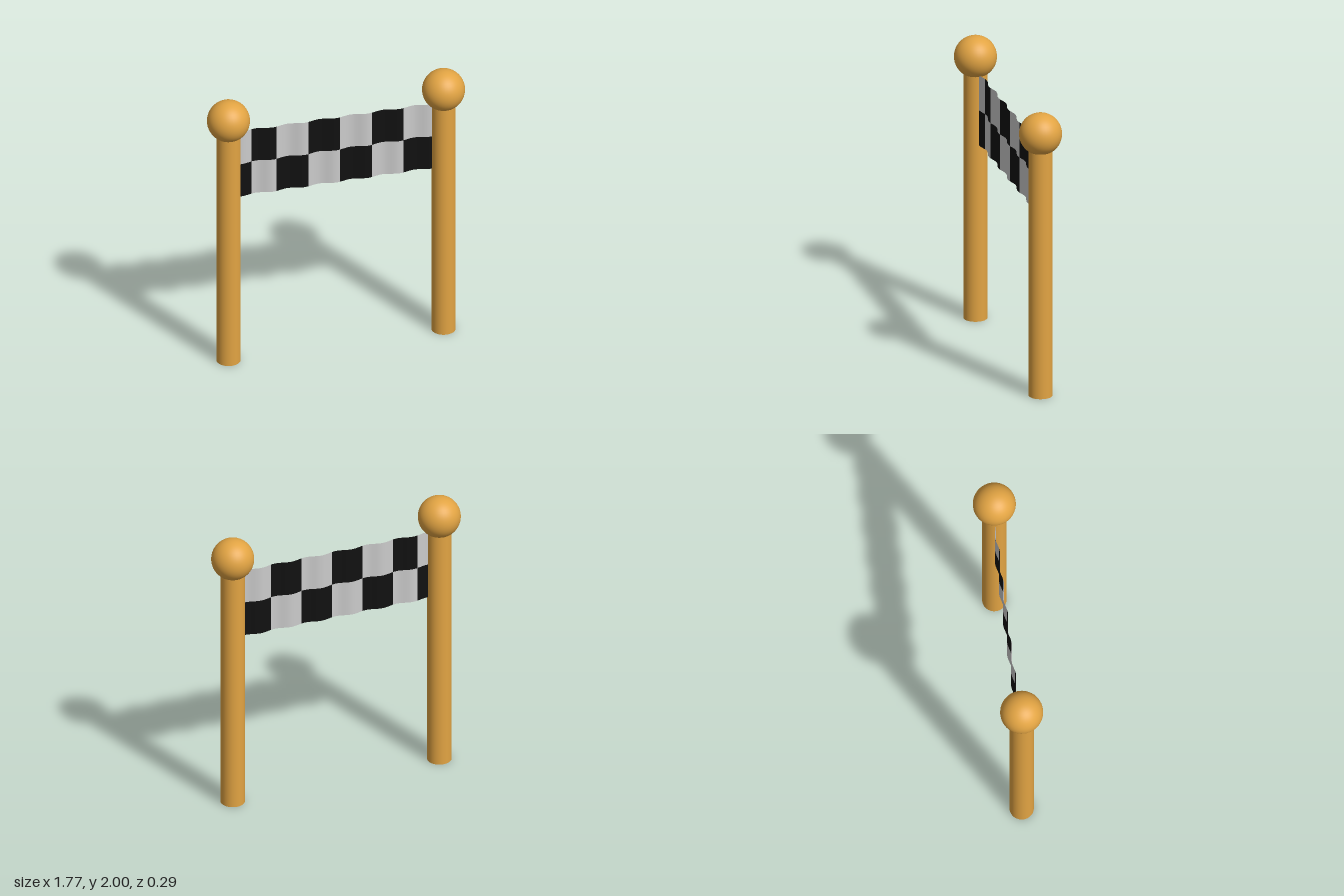
import * as THREE from 'three';
import { mergeGeometries } from 'three/addons/utils/BufferGeometryUtils.js';

const POST_X = 0.74, POST_R = 0.081, POST_H = 1.746;
const BALL_R = 0.143;
const WAVE = (2 * Math.PI) / 0.2177, AMP = 0.01;

// One rippled rectangle of cloth, with smooth normals that match its neighbours
function clothCell(x0, x1, y0, y1) {
  const geo = new THREE.PlaneGeometry(x1 - x0, y1 - y0, 12, 1);
  geo.translate((x0 + x1) / 2, (y0 + y1) / 2, 0);
  const { position, normal } = geo.attributes;
  const n = new THREE.Vector3();
  for (let i = 0; i < position.count; i++) {
    const a = position.getX(i) * WAVE;
    position.setZ(i, AMP * (Math.cos(a) - 1));
    n.set(AMP * WAVE * Math.sin(a), 0, 1).normalize();
    normal.setXYZ(i, n.x, n.y, n.z);
  }
  return geo;
}

export function createModel() {
  const group = new THREE.Group();
  const wood = new THREE.MeshStandardMaterial({ color: 0xe2a443 });

  // Two round posts, each with a ball on top
  for (const [side, s] of [['left', 1], ['right', -1]]) {
    const post = new THREE.Mesh(new THREE.CylinderGeometry(POST_R, POST_R, POST_H, 32), wood);
    post.name = side + 'Post';
    post.position.set(s * POST_X, POST_H / 2, 0);

    const ball = new THREE.Mesh(new THREE.SphereGeometry(BALL_R, 40, 24), wood);
    ball.name = side + 'Ball';
    ball.position.set(s * POST_X, 2 - BALL_R, 0);
    group.add(post, ball);
  }

  // Chequered banner: two rows of cells, the end columns running into the posts
  const columns = [-0.72, -0.578, -0.407, -0.189, 0.029, 0.248, 0.466, 0.7];
  const rows = [1.255, 1.505, 1.755];
  const cells = [[], []];
  for (let r = 0; r < 2; r++) {
    for (let c = 0; c < columns.length - 1; c++) {
      cells[(r + c) % 2].push(clothCell(columns[c], columns[c + 1], rows[r], rows[r + 1]));
    }
  }

  const banner = new THREE.Group();
  banner.name = 'banner';
  [['darkSquares', 0x111111], ['lightSquares', 0xcccccc]].forEach(([name, color], i) => {
    const material = new THREE.MeshStandardMaterial({ color, side: THREE.DoubleSide });
    const squares = new THREE.Mesh(mergeGeometries(cells[i]), material);
    squares.name = name;
    banner.add(squares);
  });
  group.add(banner);

  return group;
}
